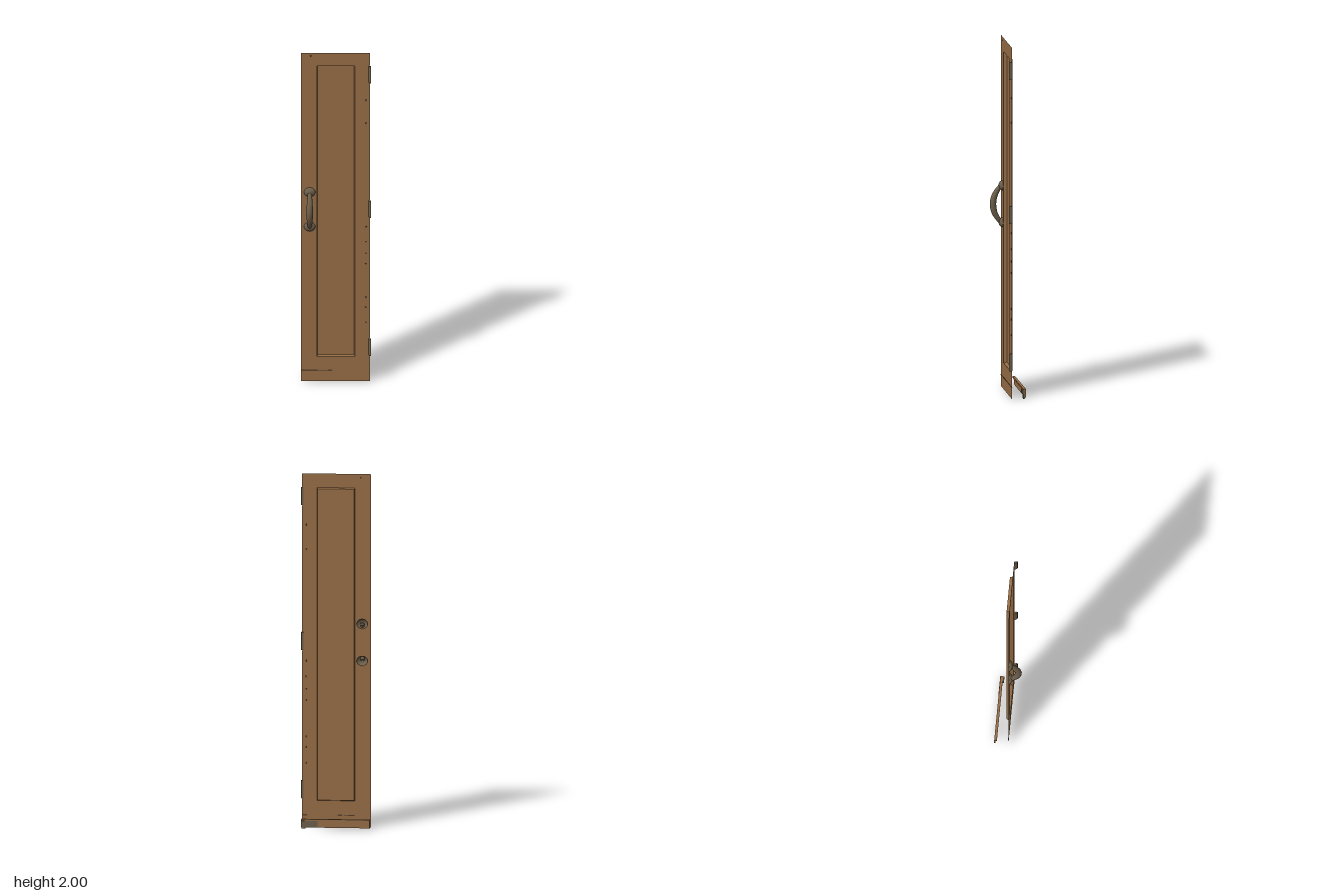
import * as THREE from 'three';

const wood = new THREE.MeshStandardMaterial({ color: 0x956d46, side: THREE.DoubleSide });
wood.name = 'brown wood';
const metal = new THREE.MeshStandardMaterial({ color: 0x6d5f4a, side: THREE.DoubleSide });
metal.name = 'aged metal';
const dark = new THREE.MeshStandardMaterial({ color: 0x453728, side: THREE.DoubleSide });
dark.name = 'dark brown';

const FACE = 0.003, BACK = -0.015, LEFT = 0.19, RIGHT = -0.197;
const HINGES = [0.21, 1.05, 1.87];
const BOSSES = [0.942, 1.152];
const HANDLE_X = -0.148;

function add(parent, name, geometry, material, x = 0, y = 0, z = 0) {
  const mesh = new THREE.Mesh(geometry, material);
  mesh.name = name;
  mesh.position.set(x, y, z);
  parent.add(mesh);
  return mesh;
}

const box = (parent, name, mat, x0, x1, y0, y1, z0, z1) =>
  add(parent, name, new THREE.BoxGeometry(x1 - x0, y1 - y0, z1 - z0), mat,
    (x0 + x1) / 2, (y0 + y1) / 2, (z0 + z1) / 2);

// Thin outer sheet: hinge notches, panel opening and openings behind the handle
function frameGeometry() {
  const s = new THREE.Shape();
  s.moveTo(RIGHT, 0);
  s.lineTo(LEFT, 0);
  for (const y of HINGES) {
    s.lineTo(LEFT, y - 0.055);
    s.lineTo(LEFT - 0.009, y - 0.045);
    s.lineTo(LEFT - 0.009, y + 0.045);
    s.lineTo(LEFT, y + 0.055);
  }
  s.lineTo(LEFT, 2);
  s.lineTo(RIGHT, 2);
  s.closePath();
  const panel = new THREE.Path();
  panel.moveTo(-0.108, 0.149);
  panel.lineTo(-0.108, 1.921);
  panel.lineTo(0.105, 1.921);
  panel.lineTo(0.105, 0.149);
  panel.closePath();
  s.holes.push(panel);
  for (const y of BOSSES) {
    const hole = new THREE.Path();
    hole.absellipse(HANDLE_X, y, 0.031, 0.027, 0, Math.PI * 2, true);
    s.holes.push(hole);
  }
  return new THREE.ShapeGeometry(s, 20);
}

// Sloping walls between the sheet and the recessed panel
function wallGeometry() {
  const ring = (x0, x1, y0, y1, z) => [[x0, y0, z], [x1, y0, z], [x1, y1, z], [x0, y1, z]];
  const a = ring(-0.108, 0.105, 0.149, 1.921, FACE);
  const b = ring(-0.103, 0.1, 0.154, 1.916, BACK);
  const pos = [];
  for (let i = 0; i < 4; i++) {
    const j = (i + 1) % 4;
    pos.push(...a[i], ...a[j], ...b[j], ...a[i], ...b[j], ...b[i]);
  }
  const g = new THREE.BufferGeometry();
  g.setAttribute('position', new THREE.Float32BufferAttribute(pos, 3));
  g.computeVertexNormals();
  return g;
}

// Bowed grip whose thickness swells toward the middle
function gripGeometry() {
  const curve = new THREE.CatmullRomCurve3([
    [1.15, 0.014], [1.125, 0.032], [1.09, 0.049], [1.047, 0.056],
    [1.004, 0.049], [0.969, 0.032], [0.944, 0.014],
  ].map(([y, z]) => new THREE.Vector3(0, y, z)));
  const rings = 32, sides = 14;
  const g = new THREE.TubeGeometry(curve, rings, 1, sides);
  const p = g.attributes.position, v = new THREE.Vector3();
  for (let i = 0; i <= rings; i++) {
    const t = i / rings, c = curve.getPointAt(t);
    const r = 0.011 + 0.007 * Math.sin(Math.PI * t);
    for (let j = 0; j <= sides; j++) {
      const k = i * (sides + 1) + j;
      v.fromBufferAttribute(p, k).sub(c).multiplyScalar(r).add(c);
      p.setXYZ(k, v.x, v.y, v.z);
    }
  }
  g.computeVertexNormals();
  return g;
}

export function createModel() {
  const model = new THREE.Group();
  model.name = 'cabinetDoor';

  // Door
  add(model, 'doorFrame', frameGeometry(), wood, 0, 0, FACE);
  add(model, 'panelWalls', wallGeometry(), wood);
  add(model, 'recessedPanel', new THREE.PlaneGeometry(0.203, 1.762), wood, -0.0015, 1.035, BACK);

  // Lower rail seam
  box(model, 'railSeam', wood, RIGHT, LEFT, 0.064, 0.067, 0.001, 0.0045);
  box(model, 'railSlit', dark, -0.105, -0.045, 0.065, 0.069, 0.001, 0.005);

  // Handle: hollow round bosses and a bowed grip
  const handle = new THREE.Group();
  handle.name = 'handle';
  handle.position.x = HANDLE_X;
  model.add(handle);
  for (const y of BOSSES) {
    const dome = new THREE.SphereGeometry(1, 24, 10, 0, Math.PI * 2, 0, Math.PI / 2);
    dome.rotateX(Math.PI / 2);
    dome.scale(0.032, 0.028, 0.022);
    add(handle, 'handleBoss', dome, metal, 0, y, 0.002);
  }
  add(handle, 'handleGrip', gripGeometry(), metal);

  // Hinge leaves on the left edge
  const profile = new THREE.Shape([
    [0.18, 0.002], [0.191, 0.002], [0.195, 0.008], [0.195, 0.02], [0.19, 0.018], [0.184, 0.01],
  ].map(([x, z]) => new THREE.Vector2(x, -z)));
  for (const y of HINGES) {
    const leaf = new THREE.ExtrudeGeometry(profile, { depth: 0.1, bevelEnabled: false });
    leaf.rotateX(-Math.PI / 2);
    leaf.scale(1, 1, 1);
    add(model, 'hinge', leaf, metal, 0, y - 0.05, 0);
  }

  // Small peg marks beside the hinges, showing on both faces
  for (const y of [1.71, 1.57, 0.94, 0.85, 0.78, 0.715, 0.51, 0.45, 0.36]) {
    const peg = new THREE.CylinderGeometry(0.005, 0.005, 0.006, 8);
    peg.rotateX(Math.PI / 2);
    add(model, 'pegMark', peg, dark, 0.166, y, 0.002);
  }
  box(model, 'topMark', dark, -0.145, -0.137, 1.975, 1.983, 0.001, 0.005);

  // Separate kick strip behind the foot of the door, with an end bracket
  box(model, 'kickStripTop', wood, RIGHT, 0.187, 0.046, 0.055, -0.076, -0.061);
  box(model, 'kickStripFace', wood, RIGHT, 0.187, 0.008, 0.05, -0.076, -0.07);
  box(model, 'stripPlate', metal, 0.095, 0.187, 0.012, 0.046, -0.0775, -0.075);
  box(model, 'stripBracket', metal, 0.155, 0.186, 0.028, 0.05, -0.07, -0.054);
  box(model, 'stripBracketFoot', metal, 0.165, 0.186, 0, 0.028, -0.071, -0.061);

  return model;
}
